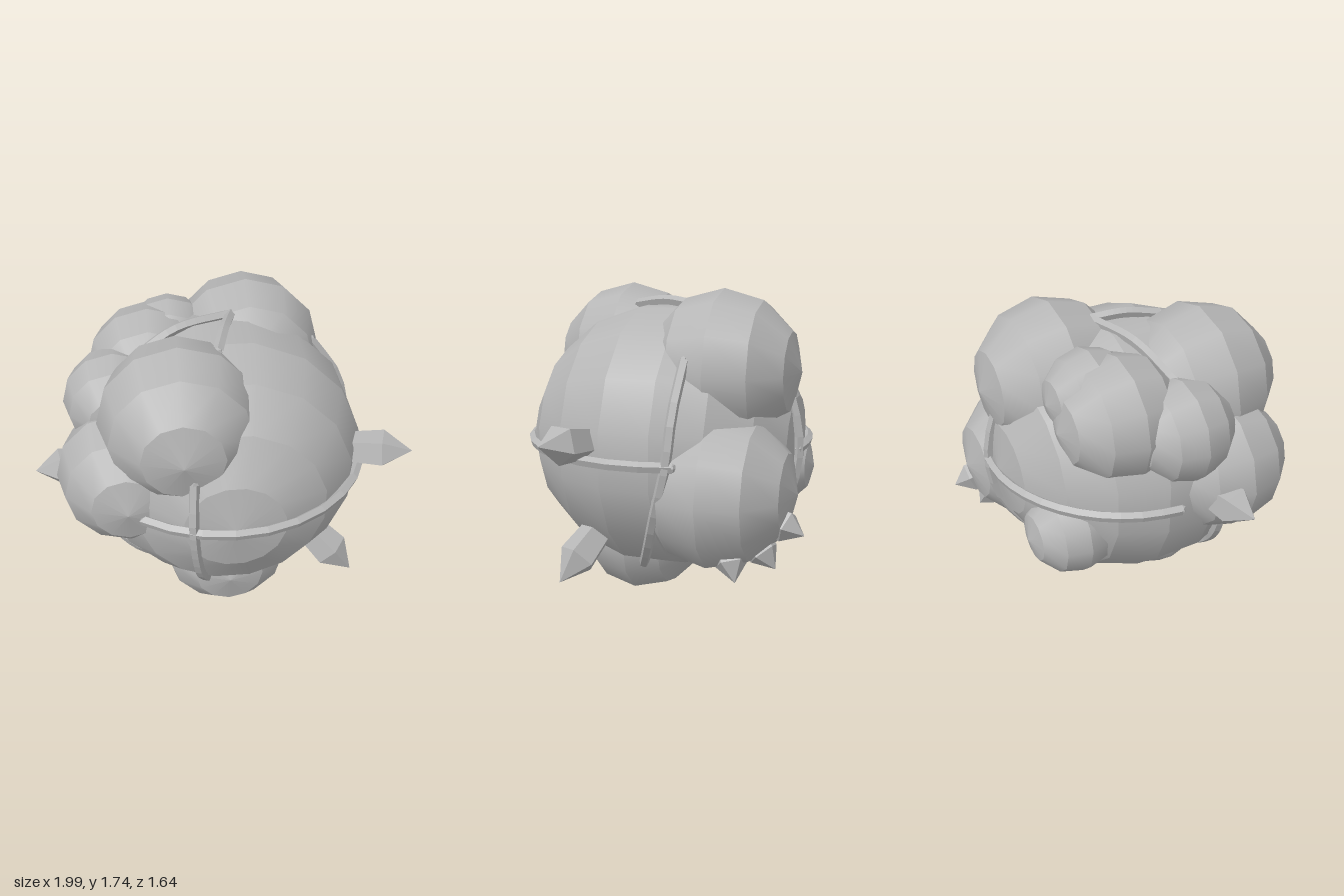
import * as THREE from 'three';
import { mergeGeometries } from 'three/addons/utils/BufferGeometryUtils.js';

const stone = new THREE.MeshStandardMaterial({ color: 0xb6b6b6 });
stone.name = 'grey stone';

const CENTER = new THREE.Vector3(0.012, 0.93, 0.035);
const SQUASH = 0.97; // the main body is slightly flattened
const VEIN_RADIUS = 0.76;
const VEIN_THICKNESS = 0.028;

// Faceted ball with poles along z: round across each band, creased between bands
function ballGeometry(radius, sides, rings, turn = 0) {
  const bands = [];
  for (let i = 0; i < rings; i++) {
    const a = (i / rings) * Math.PI;
    const b = ((i + 1) / rings) * Math.PI;
    const top = radius * Math.cos(a);
    const bottom = radius * Math.cos(b);
    const r1 = i === 0 ? 0 : radius * Math.sin(a);
    const r2 = i === rings - 1 ? 0 : radius * Math.sin(b);
    const band = new THREE.CylinderGeometry(r1, r2, top - bottom, sides, 1, true, turn);
    band.translate(0, (top + bottom) / 2, 0);
    bands.push(band);
  }
  return mergeGeometries(bands).rotateX(Math.PI / 2);
}

// Five-sided crystal growing from a centre towards its tip
function crystalGeometry(length, shoulder, base, radius) {
  const profile = [[0.001, base], [radius * 0.8, base], [radius, shoulder], [0, length]];
  const geometry = new THREE.LatheGeometry(profile.map(([x, y]) => new THREE.Vector2(x, y)), 5);
  const faceted = geometry.toNonIndexed();
  faceted.computeVertexNormals();
  return faceted;
}

// Raised vein that follows the main body through the given directions
function veinGeometry(directions) {
  const points = directions.map((d) => {
    const p = new THREE.Vector3(...d).setLength(VEIN_RADIUS);
    p.y *= SQUASH;
    return p;
  });
  const curve = new THREE.CatmullRomCurve3(points);
  const tube = new THREE.TubeGeometry(curve, 12, VEIN_THICKNESS, 5, false);
  const caps = [0, 1].map((t) => {
    const cap = new THREE.SphereGeometry(VEIN_THICKNESS * 0.9, 5, 4);
    const p = curve.getPoint(t);
    return cap.translate(p.x, p.y, p.z);
  });
  const merged = mergeGeometries([tube, ...caps]).toNonIndexed();
  merged.computeVertexNormals();
  return merged;
}

// Directions along a level or upright arc, angles in degrees
function arc(from, to, at, count = 8) {
  const rad = Math.PI / 180;
  return Array.from({ length: count }, (_, i) => at((from + ((to - from) * i) / (count - 1)) * rad));
}

export function createModel() {
  const group = new THREE.Group();
  const add = (name, geometry, position) => {
    const mesh = new THREE.Mesh(geometry, stone);
    mesh.name = name;
    mesh.position.copy(position);
    group.add(mesh);
    return mesh;
  };

  // Main body
  add('mainBody', ballGeometry(0.755, 16, 9, Math.PI / 16).scale(1, SQUASH, 1), CENTER);

  // Bulges: name, x, y, z, radius
  const bulges = [
    ['topFrontBulge', -0.235, 1.325, 0.345, 0.415],
    ['topBackBulge', 0.17, 1.335, -0.31, 0.415],
    ['leftBackBulge', 0.39, 0.75, -0.345, 0.42],
    ['rightFrontBulge', -0.515, 0.985, 0.31, 0.365],
    ['rightSideBulge', -0.555, 1.27, 0.05, 0.275],
    ['rightBackBulge', -0.365, 1.32, -0.205, 0.335],
    ['smallTopBulge', -0.25, 1.42, -0.3, 0.24],
    ['lowBackBulge', -0.34, 0.71, -0.465, 0.25],
    ['bottomBulge', 0.01, 0.375, 0.195, 0.367],
  ];
  for (const [name, x, y, z, r] of bulges) {
    add(name, ballGeometry(r, 12, 6), new THREE.Vector3(x, y, z));
  }

  // Crystals: origin, tip, shoulder and base as distances back from the tip, radius
  const backBulge = new THREE.Vector3(0.39, 0.75, -0.345);
  const crystals = [
    ['leftCrystal', CENTER, [0.99, 1.05, 0.365], 0.15, 0.38, 0.105],
    ['lowerCrystal', CENTER, [0.715, 0.255, 0.41], 0.16, 0.38, 0.105],
    ['rightCrystal', CENTER, [-1, 0.945, 0.215], 0.13, 0.34, 0.1],
    ['backSpikeHigh', backBulge, [0.48, 0.57, -0.82], 0.1, 0.22, 0.085],
    ['backSpikeMiddle', backBulge, [0.485, 0.38, -0.68], 0.1, 0.22, 0.085],
    ['backSpikeLow', backBulge, [0.62, 0.335, -0.505], 0.1, 0.22, 0.085],
  ];
  for (const [name, origin, tip, shoulder, base, radius] of crystals) {
    const direction = new THREE.Vector3(...tip).sub(origin);
    const length = direction.length();
    const geometry = crystalGeometry(length, length - shoulder, length - base, radius);
    const mesh = add(name, geometry, origin);
    mesh.quaternion.setFromUnitVectors(new THREE.Vector3(0, 1, 0), direction.normalize());
  }

  // Veins wrapped around the body
  const level = (a) => [Math.sin(a), 0, Math.cos(a)];
  const upright = (azimuth) => (a) => [
    Math.cos(a) * Math.sin(azimuth), Math.sin(a), Math.cos(a) * Math.cos(azimuth),
  ];
  const veins = {
    frontLevelVein: arc(-37, 109, level, 10),
    backLevelVein: arc(170, 264, level),
    backUprightVein: arc(22, -80, upright(2.97)),
    frontUprightVein: [[-0.2, 0.28, 0.68], [-0.21, 0, 0.73], [-0.18, -0.33, 0.66], [-0.13, -0.58, 0.49]],
    leftUprightVein: [[0.53, 0.52, -0.25], [0.69, 0.27, -0.24], [0.74, 0, -0.22],
      [0.7, -0.26, -0.15], [0.57, -0.52, -0.06], [0.35, -0.68, 0.04]],
    rightLowerVein: [[-0.72, -0.15, 0.2], [-0.65, -0.34, 0.22], [-0.51, -0.52, 0.25], [-0.32, -0.66, 0.21]],
    topVeinLong: [[-0.5, 0.59, 0.03], [-0.24, 0.72, -0.06], [0.06, 0.74, -0.155]],
    topVeinShort: [[0.06, 0.74, -0.155], [0.01, 0.76, 0.02], [-0.04, 0.72, 0.2]],
  };
  for (const [name, directions] of Object.entries(veins)) {
    add(name, veinGeometry(directions), CENTER);
  }

  return group;
}
